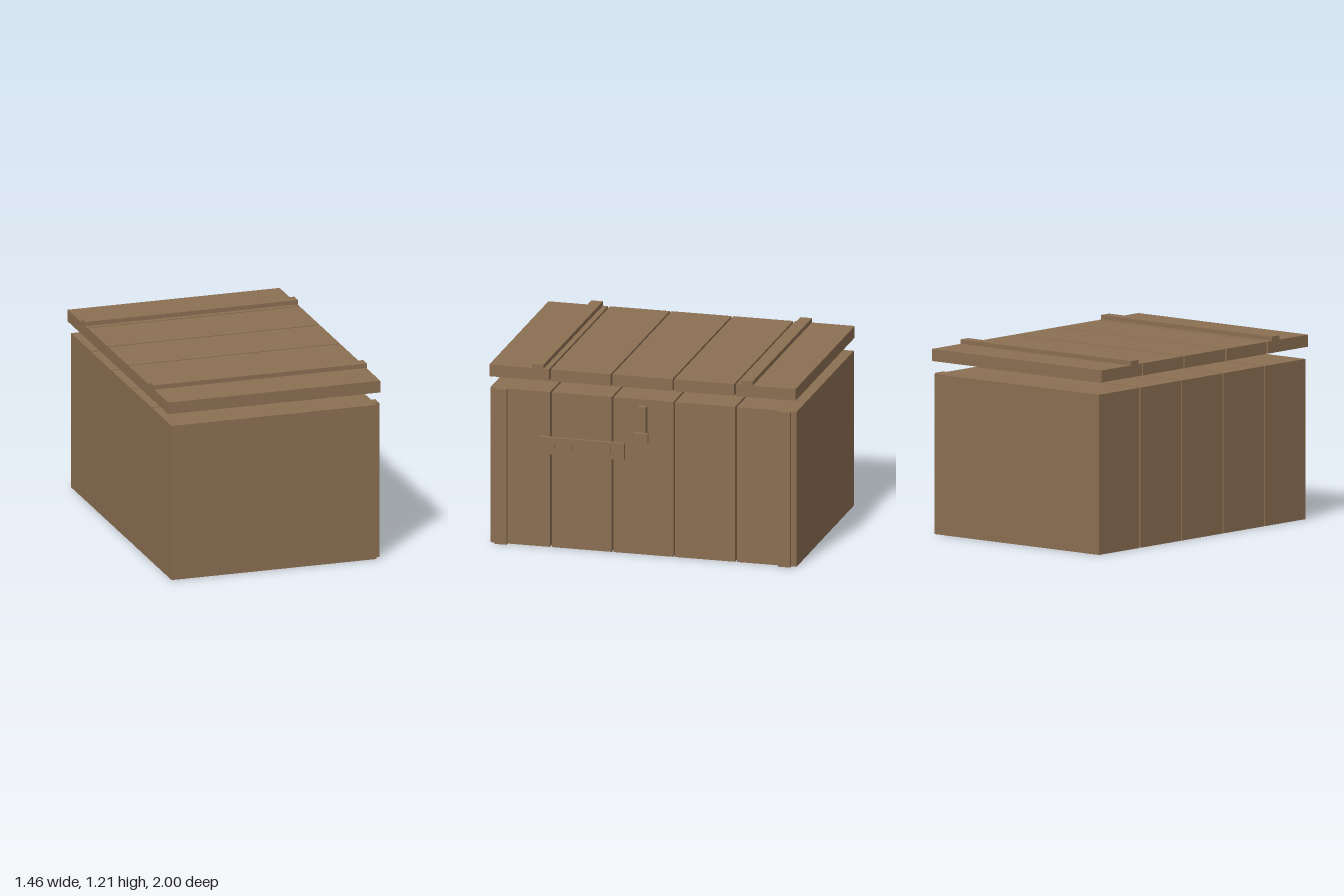
import * as THREE from 'three';

export function createModel() {
  const crate = new THREE.Group();
  crate.name = 'crate';
  const wood = new THREE.MeshStandardMaterial({ color: 0x8b6f52 });
  wood.name = 'brown wood';

  // Box given by its extents on each axis
  function block(name, parent, [x0, x1], [y0, y1], [z0, z1]) {
    const mesh = new THREE.Mesh(new THREE.BoxGeometry(x1 - x0, y1 - y0, z1 - z0), wood);
    mesh.position.set((x0 + x1) / 2, (y0 + y1) / 2, (z0 + z1) / 2);
    mesh.name = name;
    parent.add(mesh);
  }
  function group(name) {
    const g = new THREE.Group();
    g.name = name;
    crate.add(g);
    return g;
  }

  const body = group('body');
  const lid = group('lid');
  const latch = group('latch');
  const plate = group('namePlate');

  // Five planks front to back, with narrow gaps, for the body and the raised lid
  for (let i = -2; i <= 2; i++) {
    const z = [i * 0.4025 - 0.195, i * 0.4025 + 0.195];
    block('bodyPlank', body, [-0.705, 0.656], [0, 1.02], z);
    block('lidPlank', lid, [-0.727, 0.68], [1.1, 1.177], z);
  }

  // Lid battens and corner posts, mirrored front and back
  for (const s of [-1, 1]) {
    const span = (a, b) => (s > 0 ? [a, b] : [-b, -a]);
    block('lidBatten', lid, [-0.73, 0.684], [1.17, 1.205], span(0.645, 0.72));
    block('cornerPost', body, [0.65, 0.685], [0, 1.02], span(0.886, 0.965));
  }

  // Latch strap and its block
  block('latchStrap', latch, [0.65, 0.697], [0.775, 0.98], [-0.025, 0.025]);
  block('latchBlock', latch, [0.695, 0.727], [0.755, 0.815], [-0.045, 0.045]);

  // Side plate with four small nails
  block('sidePlate', plate, [0.65, 0.677], [0.617, 0.727], [0.12, 0.682]);
  for (let i = 0; i < 4; i++) {
    const z = 0.215 + i * 0.122;
    block('nail', plate, [0.67, 0.684], [0.655, 0.69], [z - 0.005, z + 0.005]);
  }

  return crate;
}
